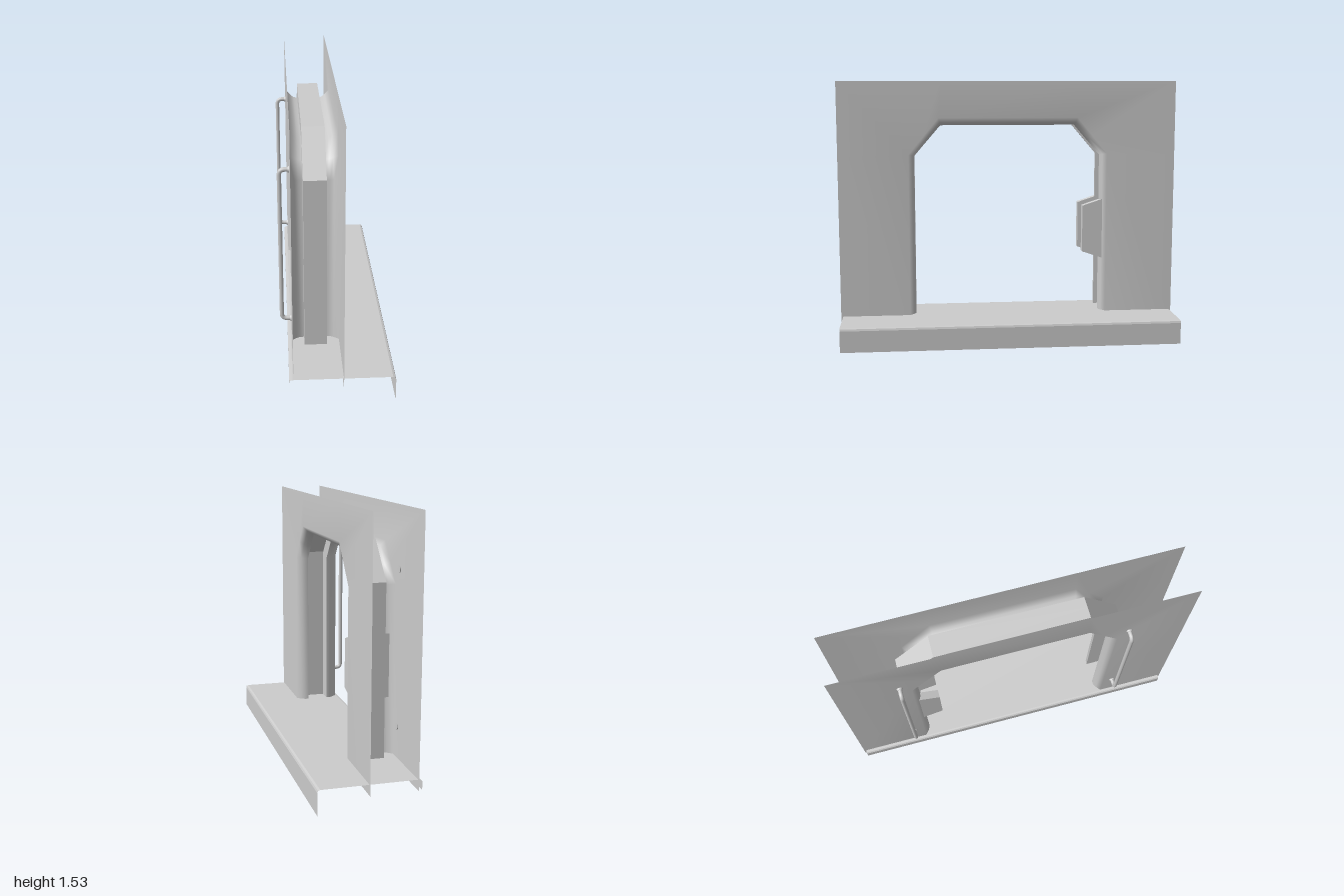
import * as THREE from 'three';

const material = new THREE.MeshStandardMaterial({ color: 0xcccccc, side: THREE.DoubleSide });
const flat = new THREE.MeshStandardMaterial({ color: 0xcccccc, side: THREE.DoubleSide, flatShading: true });
const MID = -0.1075; // centre plane between the two wall panels

// Arch-shaped ring: [x, y, z] points running from the +z foot over the top to the -z foot
function archRing(x, halfWidth, top, chamferZ, chamferY, foot) {
  const half = [
    [foot, halfWidth], [chamferY, halfWidth],
    [(chamferY + top) / 2, (halfWidth + chamferZ) / 2], [top, chamferZ],
  ];
  const points = half.map(([y, z]) => [x, y, z]);
  return points.concat(half.reverse().map(([y, z]) => [x, y, -z]));
}

// Skin of quads through rings with equal point counts
function loft(rings, flip) {
  const n = rings[0].length, index = [];
  for (let r = 0; r < rings.length - 1; r++) {
    for (let i = 0; i < n - 1; i++) {
      const a = r * n + i, b = a + 1, c = a + n, d = c + 1;
      if (flip) index.push(a, c, b, b, c, d);
      else index.push(a, b, c, b, d, c);
    }
  }
  const geometry = new THREE.BufferGeometry();
  geometry.setAttribute('position', new THREE.Float32BufferAttribute(rings.flat(2), 3));
  geometry.setIndex(index);
  geometry.computeVertexNormals();
  return geometry;
}

function add(parent, name, geometry, mat = material) {
  const mesh = new THREE.Mesh(geometry, mat);
  mesh.name = name;
  parent.add(mesh);
  return mesh;
}

function addSide(parent, s) {
  const side = new THREE.Group();
  side.name = s > 0 ? 'leftSide' : 'rightSide';
  parent.add(side);
  const x = (d) => MID + s * d;

  // Wall sheet whose doorway edge rolls inward
  const outer = archRing(x(0.1325), 1, 1.53, 0.4, 1.09, 0.08);
  outer[2] = [x(0.1325), 1.53, 1];
  outer[5] = [x(0.1325), 1.53, -1];
  add(side, 'wallPanel', loft([
    outer,
    archRing(x(0.1325), 0.59, 1.315, 0.412, 1.1, 0.08),
    archRing(x(0.105), 0.567, 1.287, 0.405, 1.095, 0.08),
    archRing(x(0.085), 0.556, 1.273, 0.4, 1.09, 0.08),
    archRing(x(0.0625), 0.555, 1.27, 0.4, 1.09, 0.08),
  ], s < 0));

  // Half of the door channel set behind the rolled edge
  add(side, 'doorChannel', loft([
    archRing(x(0.0625), 0.555, 1.27, 0.4, 1.09, 0.05),
    archRing(x(0.0625), 0.64, 1.35, 0.435, 1.12, 0.05),
    archRing(MID, 0.64, 1.35, 0.435, 1.12, 0.05),
  ], s < 0), flat);

  // Latch block standing out of the -z jamb
  const shape = new THREE.Shape([[0.57, 0.465], [0.45, 0.505], [0.45, 0.785], [0.57, 0.825]]
    .map(([z, y]) => new THREE.Vector2(z, y)));
  const latch = new THREE.ExtrudeGeometry(shape, { depth: 0.046, bevelEnabled: false });
  latch.rotateY(Math.PI / 2);
  latch.translate(s > 0 ? x(0.0625) : x(0.1085), 0, 0);
  add(side, 'latchBlock', latch);
}

// Grab rail: rounded U-shaped tube with a collar at each end
function addRail(parent, z) {
  const rail = new THREE.Group();
  rail.name = 'grabRail';
  parent.add(rail);
  const V = (x, y) => new THREE.Vector3(x, y, z);
  const xo = -0.293, lo = 0.32, hi = 1.19, r = 0.03, wall = -0.236;
  const path = new THREE.CurvePath();
  path.add(new THREE.LineCurve3(V(wall, lo), V(xo + r, lo)));
  path.add(new THREE.QuadraticBezierCurve3(V(xo + r, lo), V(xo, lo), V(xo, lo + r)));
  path.add(new THREE.LineCurve3(V(xo, lo + r), V(xo, hi - r)));
  path.add(new THREE.QuadraticBezierCurve3(V(xo, hi - r), V(xo, hi), V(xo + r, hi)));
  path.add(new THREE.LineCurve3(V(xo + r, hi), V(wall, hi)));
  add(rail, 'railTube', new THREE.TubeGeometry(path, 140, 0.012, 10));
  for (const y of [lo, hi]) {
    const collar = new THREE.CylinderGeometry(0.015, 0.02, 0.014, 12);
    collar.rotateZ(Math.PI / 2);
    collar.translate(-0.242, y, z);
    add(rail, 'railCollar', collar);
  }
}

export function createModel() {
  const model = new THREE.Group();
  model.name = 'doorwaySection';

  addSide(model, 1);
  addSide(model, -1);
  for (const z of [-0.65, 0.65]) addRail(model, z);

  // Floor sheet folded down along both long edges
  const profile = [[-0.262, 0.08], [-0.262, 0.13], [-0.255, 0.138], [-0.245, 0.14],
    [0.285, 0.14], [0.297, 0.136], [0.301, 0.125], [0.301, 0]];
  const ring = (z) => profile.map(([x, y]) => [x, y, z]);
  add(model, 'floor', loft([ring(0.988), ring(-0.988)], false), flat);

  return model;
}
